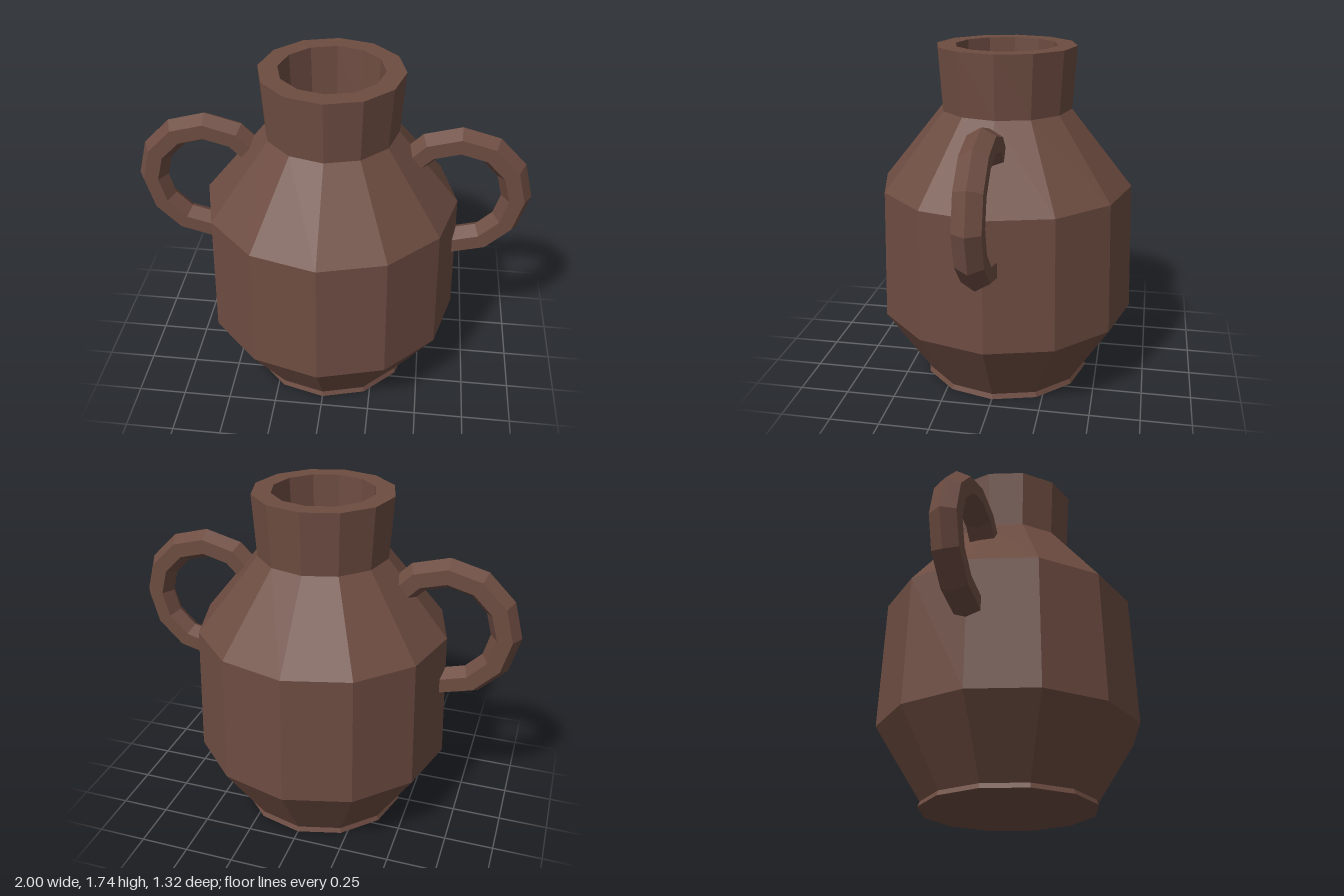
import * as THREE from 'three';

export function createModel() {
  const model = new THREE.Group();
  model.name = 'twoHandledJar';
  const clay = new THREE.MeshStandardMaterial({ color: 0x6d4c41, flatShading: true });

  function add(name, geometry) {
    const mesh = new THREE.Mesh(geometry, clay);
    mesh.name = name;
    model.add(mesh);
    return mesh;
  }

  // Twelve-sided jar: base, foot lip, belly, shoulder, neck, rim and the well inside the neck
  const profile = [
    [0, 0], [0.44, 0], [0.43, 0.025],
    [0.66, 0.38], [0.64, 1.04],
    [0.33, 1.425], [0.35, 1.735],
    [0.255, 1.735], [0.24, 1.425], [0, 1.425],
  ].map(([r, y]) => new THREE.Vector2(r, y));
  add('jarBody', new THREE.LatheGeometry(profile, 12));

  // Hexagonal ring handles, their ends sunk into the shoulder and the belly
  const handle = new THREE.TorusGeometry(0.295, 0.075, 6, 9, Math.PI * 1.5);
  handle.rotateZ(-Math.PI * 2 / 3);
  handle.translate(0.63, 1.097, 0);
  add('leftHandle', handle);
  add('rightHandle', handle).rotation.y = Math.PI;

  return model;
}
